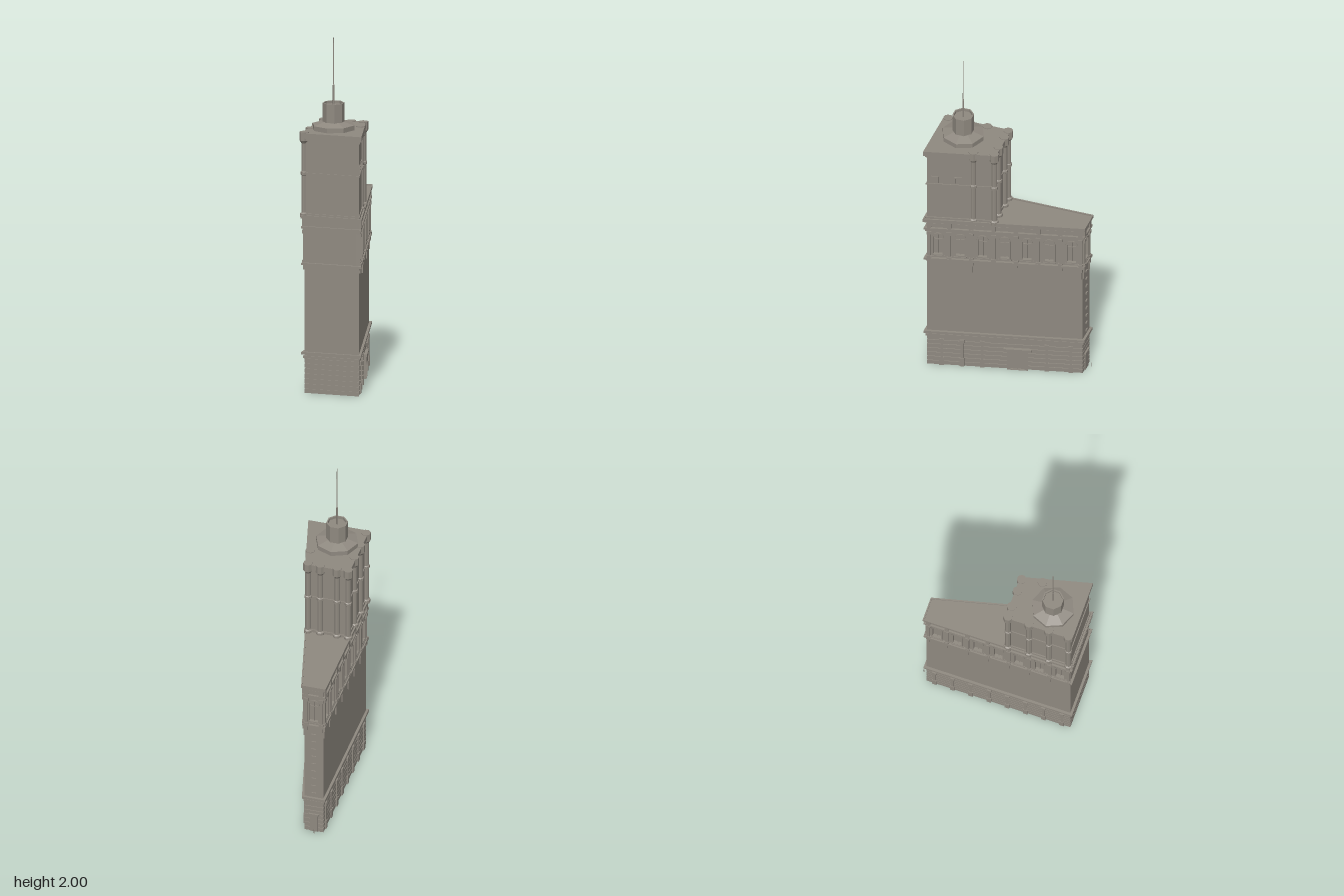
import * as THREE from 'three';

const FRONT = 0.43, BACK = -0.415, LEFT = -0.156, SLOPE = 0.2464;
const SEC = Math.hypot(1, SLOPE);
const rightX = z => 0.161 + (z - FRONT) * SLOPE;

export function createModel() {
  const model = new THREE.Group();
  const stone = new THREE.MeshStandardMaterial({ color: 0x8f8980 });
  stone.name = 'warm grey stone';

  const add = (name, geo, parent = model) => {
    const m = new THREE.Mesh(geo, stone);
    m.name = name;
    parent.add(m);
    return m;
  };

  // Tapered footprint grown outward by o; front may have its own offset
  const footprint = (o, back = BACK, front = o) => {
    const zf = FRONT + front, zb = back - o;
    return [[LEFT - o, -zf], [rightX(zf) + o * SEC, -zf], [rightX(zb) + o * SEC, -zb], [LEFT - o, -zb]]
      .map(p => new THREE.Vector2(...p));
  };
  const slab = (name, y0, y1, o, back = BACK, front = o, hole = null) => {
    const shape = new THREE.Shape(footprint(o, back, front));
    if (hole !== null) shape.holes.push(new THREE.Path(footprint(hole, back).reverse()));
    const g = new THREE.ExtrudeGeometry(shape, { depth: y1 - y0, bevelEnabled: false });
    g.rotateX(-Math.PI / 2);
    g.translate(0, y0, 0);
    return add(name, g);
  };

  // Wall frames: local x runs along the wall, local z points outward
  const backMid = (LEFT + rightX(BACK)) / 2;
  const walls = {
    right: { angle: Math.atan2(1, -SLOPE), at: z => [rightX(z), z] },
    left: { angle: -Math.PI / 2, at: z => [LEFT, z] },
    back: { angle: Math.PI, at: x => [x, BACK] },
  };
  const wallGroup = (name, side, t) => {
    const g = new THREE.Group();
    const [x, z] = walls[side].at(t);
    g.name = name;
    g.position.set(x, 0, z);
    g.rotation.y = walls[side].angle;
    model.add(g);
    return g;
  };
  // Box rising from y0 to y1, standing out d from the wall
  const block = (g, name, w, y0, y1, d, x = 0, sunk = 0.012) => {
    const m = add(name, new THREE.BoxGeometry(w, y1 - y0, d + sunk), g);
    m.position.set(x, (y0 + y1) / 2, (d - sunk) / 2);
    return m;
  };
  const arch = (C, w, y0, y1) => {
    const p = new C(), r = w / 2;
    p.moveTo(-r, y0);
    p.lineTo(r, y0);
    p.lineTo(r, y1 - r);
    p.absarc(0, y1 - r, r, 0, Math.PI, false);
    p.lineTo(-r, y0);
    return p;
  };
  const extrude = (g, name, shape, z0, z1) => {
    const geo = new THREE.ExtrudeGeometry(shape, { depth: z1 - z0, bevelEnabled: false, curveSegments: 8 });
    geo.translate(0, 0, z0);
    return add(name, geo, g);
  };

  // Rusticated base
  slab('baseCore', 0, 0.2, -0.005);
  for (let i = 0; i < 7; i++) slab('baseCourse', i * 0.0286, i * 0.0286 + 0.0235, 0);
  slab('baseMoulding', 0.198, 0.212, 0.006);
  slab('baseCornice', 0.22, 0.235, 0.014);

  // Shaft, arcade storey and cornices
  slab('shaft', 0.2, 0.74, 0);
  slab('sillCourse', 0.72, 0.73, 0.006);
  slab('sillCornice', 0.73, 0.742, 0.014);
  slab('arcadeCore', 0.74, 0.93, -0.013, BACK, 0);
  slab('arcadeHead', 0.925, 0.938, 0.008);
  slab('arcadeCornice', 0.938, 0.95, 0.014);
  slab('frieze', 0.95, 0.99, 0.002);
  slab('corniceBed', 0.984, 0.995, 0.01);
  slab('mainCornice', 0.995, 1.006, 0.018);
  slab('roofRim', 1.006, 1.013, 0.018, BACK, 0.018, 0.01);

  // One arcade bay: pierced wall, arch frame, mullion, sill and frieze panel
  const bay = (side, t, w) => {
    const g = wallGroup(side + 'ArcadeBay', side, t);
    const plate = new THREE.Shape([[-w / 2, 0.74], [w / 2, 0.74], [w / 2, 0.93], [-w / 2, 0.93]]
      .map(p => new THREE.Vector2(...p)));
    plate.holes.push(arch(THREE.Path, 0.05, 0.765, 0.905));
    extrude(g, 'arcadeWall', plate, -0.014, 0);
    const frame = arch(THREE.Shape, 0.066, 0.757, 0.913);
    frame.holes.push(arch(THREE.Path, 0.05, 0.765, 0.905));
    extrude(g, 'archFrame', frame, -0.002, 0.006);
    block(g, 'mullion', 0.005, 0.765, 0.9, -0.008, 0, 0.014);
    block(g, 'transom', 0.05, 0.86, 0.866, -0.008, 0, 0.014);
    block(g, 'windowSill', 0.072, 0.75, 0.758, 0.009);
    block(g, 'friezePanel', w * 0.66, 0.957, 0.98, 0.006);
  };
  const pilaster = (side, t, pendant) => {
    const g = wallGroup(side + 'Pilaster', side, t);
    block(g, 'pilasterShaft', 0.018, 0.742, 0.925, 0.009);
    block(g, 'pilasterCapital', 0.026, 0.905, 0.925, 0.013);
    block(g, 'pilasterFoot', 0.026, 0.742, 0.755, 0.013);
    block(g, 'friezeBlock', 0.024, 0.95, 0.995, 0.013);
    block(g, 'bracket', 0.02, 0.7, 0.73, 0.01);
    if (pendant) block(g, 'pendant', 0.009, 0.65, 0.7, 0.006);
  };
  for (const side of ['right', 'left']) {
    const step = (FRONT - BACK) / 7;
    const k = side === 'right' ? SEC : 1;
    for (let i = 0; i < 7; i++) bay(side, FRONT - step * (i + 0.5), step * k);
    for (let i = 1; i < 7; i++) pilaster(side, FRONT - step * i, side === 'left' || i === 2 || i === 5);
    pilaster(side, FRONT - 0.012, false);
    pilaster(side, BACK + 0.012, true);
  }
  bay('back', backMid, rightX(BACK) - LEFT);
  for (const x of [LEFT + 0.011, rightX(BACK) - 0.011]) pilaster('back', x, true);

  // Base pilasters on both long sides
  const basePost = (side, z) => {
    const g = wallGroup(side + 'BasePost', side, z);
    block(g, 'postShaft', 0.015, 0, 0.18, 0.005);
    block(g, 'postFoot', 0.026, 0, 0.055, 0.008);
    block(g, 'postHead', 0.026, 0.16, 0.18, 0.008);
  };
  for (const z of [0.35, 0.24, 0.13, -0.22, -0.35]) basePost('right', z);
  for (let i = 0; i < 8; i++) basePost('left', 0.38 - i * 0.107);

  // Entrance on the right side
  const door = wallGroup('entrance', 'right', -0.062);
  const doorFrame = new THREE.Shape([[-0.058, 0], [0.058, 0], [0.058, 0.125], [-0.058, 0.125]]
    .map(p => new THREE.Vector2(...p)));
  doorFrame.holes.push(arch(THREE.Path, 0.08, 0.004, 0.1));
  extrude(door, 'doorSurround', doorFrame, -0.004, 0.012);
  block(door, 'doorLeafs', 0.08, 0, 0.1, 0.002);
  block(door, 'doorSplit', 0.005, 0, 0.1, 0.005);
  block(door, 'doorLintel', 0.155, 0.13, 0.145, 0.018);
  block(door, 'doorFrieze', 0.12, 0.122, 0.132, 0.014);

  // Column of small sills up the narrow back wall
  const backWall = wallGroup('backSills', 'back', backMid);
  for (let i = 0; i < 9; i++) block(backWall, 'backSill', 0.026, 0.26 + i * 0.051, 0.267 + i * 0.051, 0.006);
  block(backWall, 'backDoor', 0.045, 0, 0.11, 0.005);
  block(backWall, 'backDoorHood', 0.06, 0.11, 0.12, 0.01);
  const lamp = add('lampPost', new THREE.CylinderGeometry(0.0025, 0.0025, 0.025, 6));
  lamp.position.set(-0.112, 0.02, -0.445);

  // Tower
  const TB = 0.068;
  slab('towerFoot', 1.005, 1.022, 0.006, TB);
  slab('towerBody', 1.0, 1.45, 0, TB);
  slab('towerBelt', 1.245, 1.254, 0.005, TB);
  slab('towerCorniceBed', 1.437, 1.45, 0.008, TB);
  slab('towerCornice', 1.45, 1.48, 0.016, TB);

  // Octagonal tower columns with foot, belt and capital rings
  const columnProfile = [[0, 1], [0.024, 1], [0.024, 1.02], [0.016, 1.026], [0.016, 1.238], [0.021, 1.242],
    [0.021, 1.257], [0.016, 1.261], [0.016, 1.42], [0.027, 1.436], [0.027, 1.484], [0, 1.484]]
    .map(p => new THREE.Vector2(...p));
  const columnGeo = new THREE.LatheGeometry(columnProfile, 8, Math.PI / 8).toNonIndexed();
  columnGeo.computeVertexNormals();
  for (const [x, z] of [[-0.16, 0.065], [-0.16, 0.188], [-0.16, 0.305], [-0.16, 0.42],
    [-0.096, 0.065], [0.001, 0.065], [0.072, 0.065], [0.093, 0.18]]) {
    add('towerColumn', columnGeo).position.set(x, 0, z);
  }

  // Small tower windows on the right side
  for (const z of [0.385, 0.26]) {
    const g = wallGroup('towerWindow', 'right', z);
    for (const s of [-1, 1]) block(g, 'windowJamb', 0.006, 1.262, 1.3, 0.005, s * 0.017);
    block(g, 'windowHead', 0.04, 1.298, 1.305, 0.006);
  }

  // Octagonal crown, hollow lantern and mast
  const crown = new THREE.Group();
  crown.name = 'crown';
  crown.position.set(-0.032, 0, 0.285);
  model.add(crown);
  const turned = (name, pts, sides, phase) => {
    const g = new THREE.LatheGeometry(pts.map(p => new THREE.Vector2(...p)), sides, phase).toNonIndexed();
    g.computeVertexNormals();
    return add(name, g, crown);
  };
  turned('crownBase', [[0.121, 1.478], [0.121, 1.507], [0.06, 1.524], [0, 1.524]], 8, 0);
  turned('lantern', [[0.061, 1.515], [0.061, 1.63], [0.053, 1.63], [0.053, 1.615], [0, 1.615]], 8, Math.PI / 8);
  turned('mast', [[0.005, 1.61], [0.005, 1.73], [0.003, 1.735], [0.002, 2], [0, 2]], 8, 0);

  return model;
}
